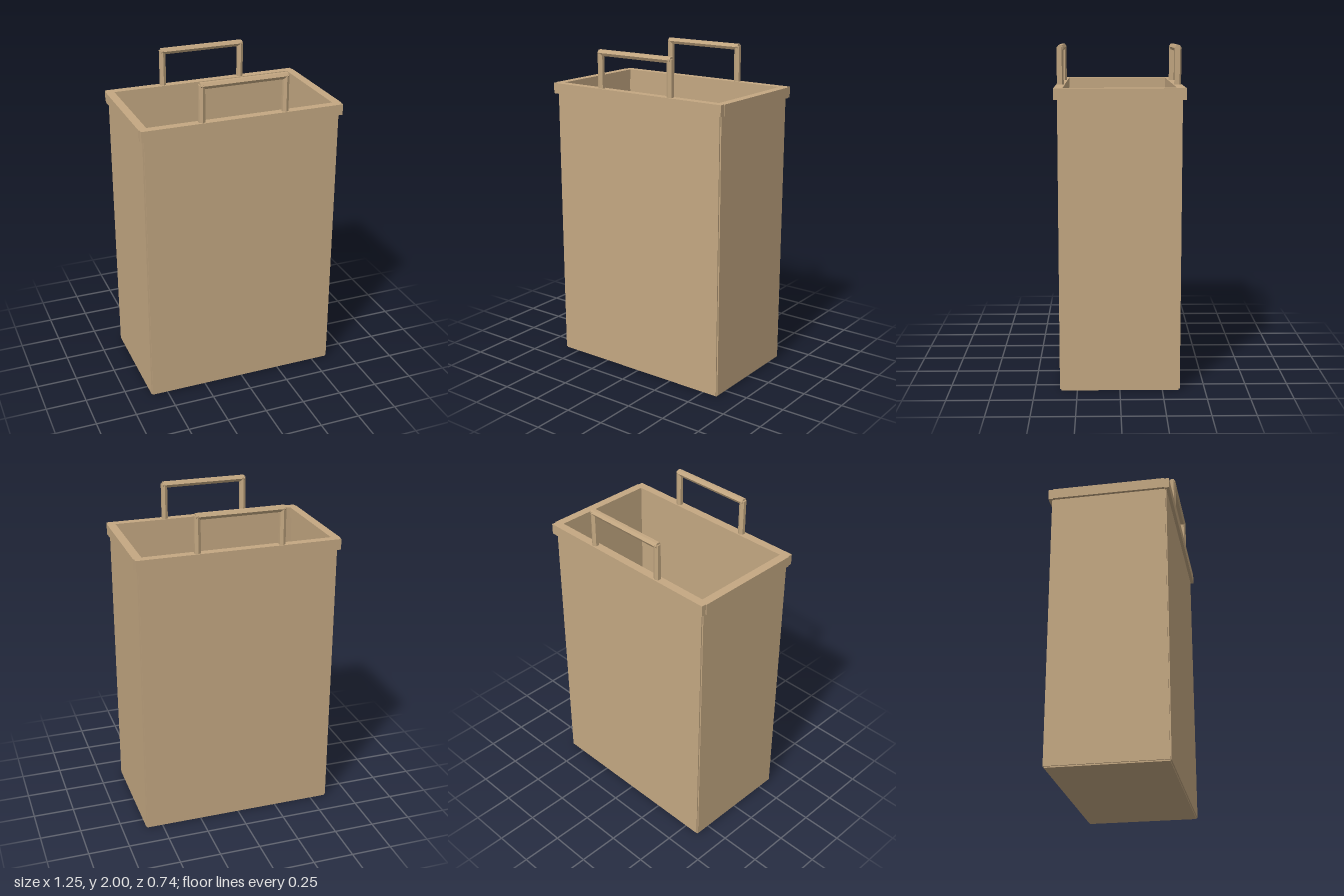
import * as THREE from 'three';

const W = 0.597, D = 0.345;        // centre lines of the side and front walls
const WALL = 0.015, RIM = 0.051;   // wall and rim thickness
const BASE = 0.0075, RIM_Y = 1.737, BAR_Y = 1.982;
const HANDLE_X = 0.2545, HANDLE_R = 0.0205;

export function createModel() {
  const bag = new THREE.Group();
  bag.name = 'paperBag';
  const paper = new THREE.MeshStandardMaterial({ color: 0xc4a882, flatShading: true });

  function add(name, geometry, x, y, z, parent = bag) {
    const mesh = new THREE.Mesh(geometry, paper);
    mesh.name = name;
    mesh.position.set(x, y, z);
    parent.add(mesh);
    return mesh;
  }

  // Floor panel
  add('floor', new THREE.BoxGeometry(2 * W, WALL, 2 * D), 0, BASE, 0);

  const wallH = RIM_Y - BASE, wallY = (RIM_Y + BASE) / 2;
  for (const s of [1, -1]) {
    const face = s > 0 ? 'front' : 'back';
    const side = s > 0 ? 'left' : 'right';

    // Wall panels meeting at notched corners
    add(face + 'Wall', new THREE.BoxGeometry(2 * W, wallH, WALL), 0, wallY, s * D);
    add(side + 'Wall', new THREE.BoxGeometry(WALL, wallH, 2 * D), s * W, wallY, 0);

    // Thick folded rim
    add(face + 'Rim', new THREE.BoxGeometry(1.234, 0.065, RIM), 0, RIM_Y, s * 0.3465);
    add(side + 'Rim', new THREE.BoxGeometry(RIM, 0.065, 0.684), s * W, RIM_Y, 0);

    // Six-sided handle: two posts and a crossbar
    const handle = new THREE.Group();
    handle.name = face + 'Handle';
    handle.position.z = s * 0.347;
    bag.add(handle);
    const postTop = 1.988;
    for (const x of [HANDLE_X, -HANDLE_X]) {
      add('handlePost', new THREE.CylinderGeometry(HANDLE_R, HANDLE_R, postTop - RIM_Y, 6),
        x, (postTop + RIM_Y) / 2, 0, handle);
    }
    const bar = add('handleBar', new THREE.CylinderGeometry(HANDLE_R, HANDLE_R, 0.528, 6),
      0, BAR_Y, 0, handle);
    bar.rotation.z = Math.PI / 2;
  }
  return bag;
}
